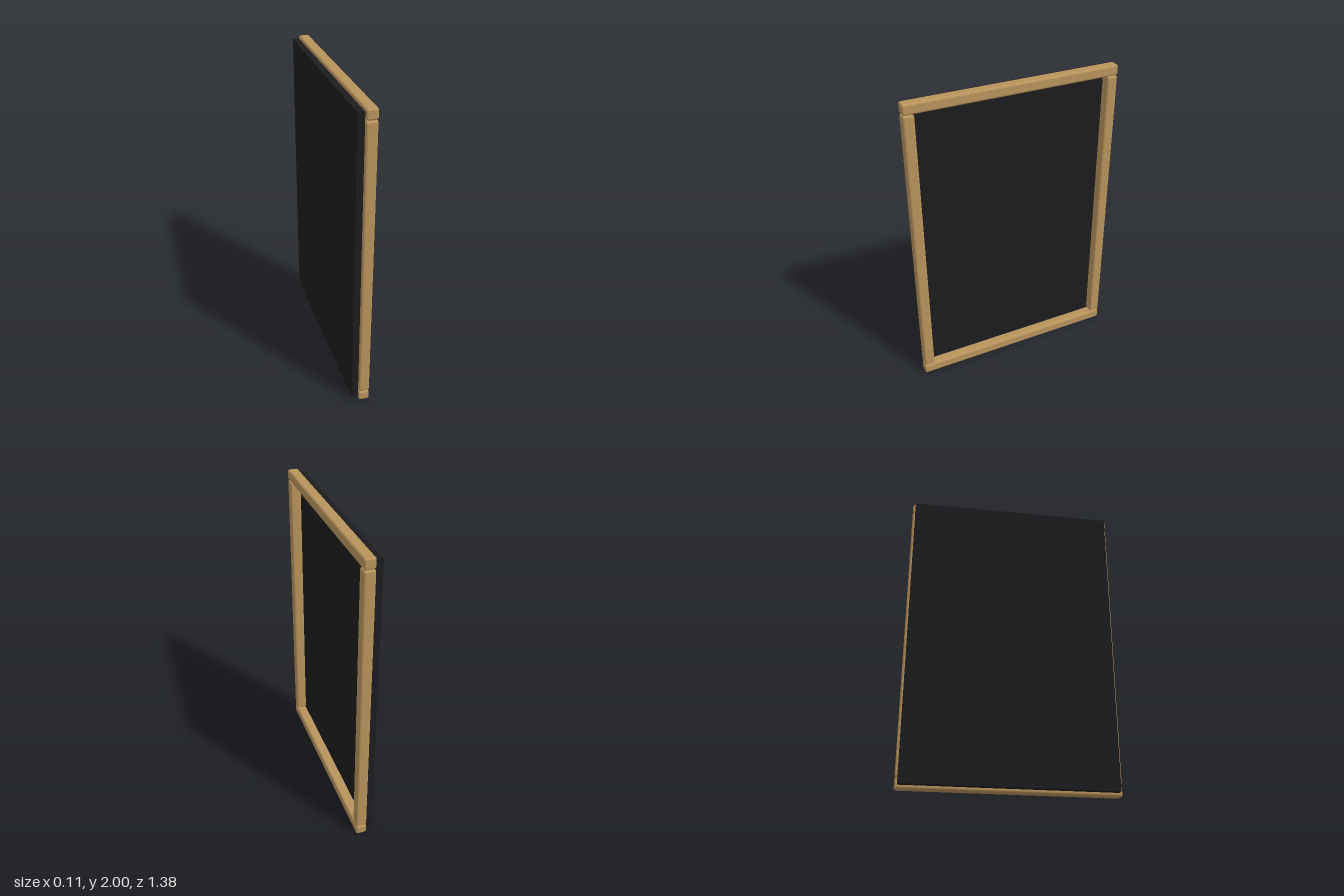
import * as THREE from 'three';
import { RoundedBoxGeometry } from 'three/addons/geometries/RoundedBoxGeometry.js';

export function createModel() {
  const group = new THREE.Group();
  const wood = new THREE.MeshStandardMaterial({ color: 0xb8935c });
  const dark = new THREE.MeshStandardMaterial({ color: 0x1c1c1e });

  const add = (name, geometry, material, x, y, z) => {
    const mesh = new THREE.Mesh(geometry, material);
    mesh.name = name;
    mesh.position.set(x, y, z);
    group.add(mesh);
  };

  const bar = 0.07;      // thickness of the frame bars
  const halfWidth = 0.69;
  const frameX = 0.017;  // centre of the frame's depth

  // Dark flat panel behind the frame
  add('backPanel', new THREE.BoxGeometry(0.042, 1.955, 1.342), dark, -0.039, 1.002, -0.002);

  // Rails run the full width, above and below the stiles
  const rail = new RoundedBoxGeometry(bar, 0.068, halfWidth * 2, 2, 0.014);
  add('topRail', rail, wood, frameX, 1.966, 0);
  add('bottomRail', rail, wood, frameX, 0.036, 0);

  // Upright stiles fit between the rails
  const stile = new RoundedBoxGeometry(bar, 1.858, bar, 2, 0.014);
  for (const [name, side] of [['frontStile', 1], ['backStile', -1]]) {
    add(name, stile, wood, frameX, 1.001, side * (halfWidth - bar / 2));
  }
  return group;
}
